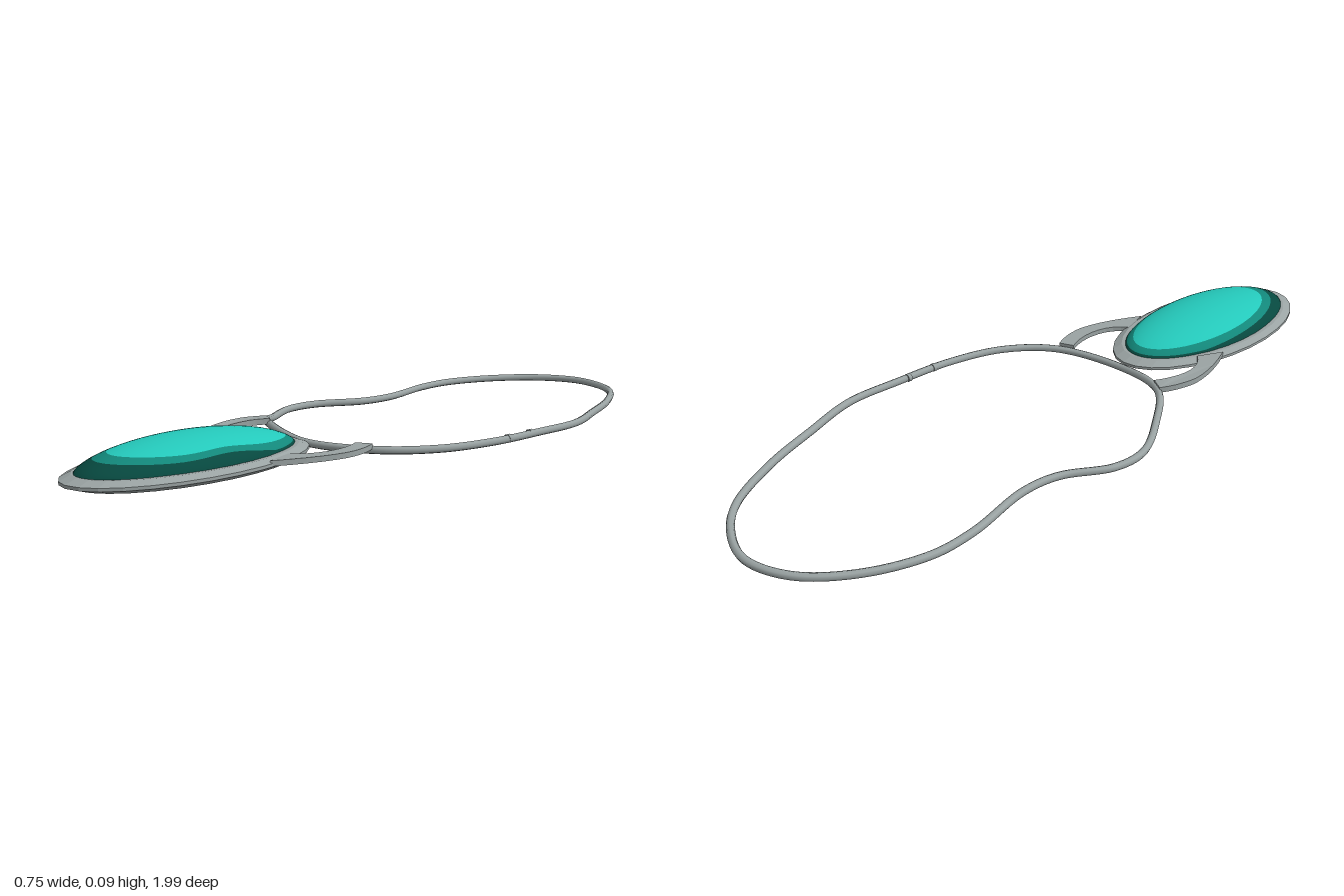
import * as THREE from 'three';

const mat = (name, color, opts = {}) => {
  const m = new THREE.MeshStandardMaterial({ color, ...opts });
  m.name = name;
  return m;
};

export function createModel() {
  const group = new THREE.Group();
  const silver = mat('silver', 0x9aa3a3);
  const silverFlat = mat('silver faceted', 0x9aa3a3, { flatShading: true });
  const teal = mat('bright teal', 0x24c9bb);
  const midTeal = mat('mid teal', 0x12877a);
  const deepTeal = mat('deep teal', 0x07483f);

  const add = (name, geometry, material) => {
    const mesh = new THREE.Mesh(geometry, material);
    mesh.name = name;
    group.add(mesh);
    return mesh;
  };

  // Cord: irregular closed loop lying flat, lifted where it crosses the left bail
  const loop = [
    [-0.07, -0.99], [0.05, -0.955], [0.14, -0.885], [0.235, -0.73], [0.30, -0.57],
    [0.36, -0.40], [0.363, -0.24], [0.355, -0.05], [0.31, 0.11],
    [0.21, 0.225], [0.01, 0.285], [-0.185, 0.24, 0.03], [-0.28, 0.135, 0.015],
    [-0.36, 0.0], [-0.36, -0.10], [-0.295, -0.23], [-0.287, -0.34],
    [-0.335, -0.54], [-0.34, -0.67], [-0.285, -0.83], [-0.19, -0.945],
  ].map(([x, z, y = 0.0105]) => new THREE.Vector3(x, y, z));
  const path = new THREE.CatmullRomCurve3(loop, true);
  add('cord', new THREE.TubeGeometry(path, 200, 0.0105, 8, true), silver);

  // Clasp rings on the right of the cord
  for (const z of [-0.2, -0.11]) {
    const ring = add('claspRing', new THREE.CylinderGeometry(0.0115, 0.0115, 0.012, 10), silver);
    ring.rotation.x = Math.PI / 2;
    ring.position.set(0.36, 0.0115, z);
  }

  // Setting: oval dish with a bevelled rim and a recessed back
  const profile = [
    [0, 0.007], [0.76, 0.007], [0.80, 0.002], [0.90, 0.002], [1, 0.013], [1, 0.021],
    [0.91, 0.032], [0.85, 0.032], [0.81, 0.026], [0, 0.026],
  ].map(([r, y]) => new THREE.Vector2(r, y));
  const setting = add('setting', new THREE.LatheGeometry(profile, 28), silverFlat);
  setting.scale.set(0.178, 1, 0.346);
  setting.position.set(0.004, 0, 0.645);

  // Stone: domed oval made of colour bands between two radii that vary by angle
  const SEG = 64, RINGS = 10;
  const dome = (r) => 0.028 + 0.063 * Math.pow(Math.max(0, 1 - r * r), 0.62);
  const band = (name, inner, outer, material) => {
    const geo = new THREE.PlaneGeometry(1, 1, SEG, RINGS);
    const pos = geo.attributes.position, nor = geo.attributes.normal;
    const n = new THREE.Vector3();
    for (let j = 0; j <= RINGS; j++) {
      for (let i = 0; i <= SEG; i++) {
        const a = -(i / SEG) * Math.PI * 2;
        const r = THREE.MathUtils.lerp(outer(a), inner(a), j / RINGS);
        const k = j * (SEG + 1) + i;
        pos.setXYZ(k, 0.149 * r * Math.cos(a), dome(r), 0.31 * r * Math.sin(a));
        const e = Math.min(r, 0.99);
        const slope = -(dome(e + 0.005) - dome(e - 0.005)) / 0.01;
        n.set(slope * Math.cos(a) / 0.149, 1, slope * Math.sin(a) / 0.31).normalize();
        nor.setXYZ(k, n.x, n.y, n.z);
      }
    }
    // Keep every face pointing up
    const id = geo.index;
    const p = [0, 1, 2].map(() => new THREE.Vector3());
    for (let f = 0; f < id.count; f += 3) {
      p.forEach((v, c) => v.fromBufferAttribute(pos, id.getX(f + c)));
      if (p[1].sub(p[0]).cross(p[2].sub(p[0])).y < 0) {
        const t = id.getX(f + 1);
        id.setX(f + 1, id.getX(f + 2));
        id.setX(f + 2, t);
      }
    }
    const mesh = add(name, geo, material);
    mesh.position.set(0.004, 0, 0.648);
  };
  // Bright area reaches the back edge, and dips in at the front and right
  const brightEdge = (a) => 0.81 - 0.10 * Math.sin(a)
    - 0.09 * Math.exp(-Math.pow((Math.atan2(Math.sin(a), Math.cos(a)) + 0.1) / 0.35, 2));
  const midEdge = (a) => Math.min(0.975, brightEdge(a) + 0.12);
  band('stoneTop', () => 0, brightEdge, teal);
  band('stoneMiddle', brightEdge, midEdge, midTeal);
  band('stoneEdge', midEdge, () => 1, deepTeal);

  // Bails: flat crescents joining the setting to the cord
  const bail = (name, side, thickness, height) => {
    const s = new THREE.Shape();
    s.moveTo(side * 0.205, -0.235);
    s.quadraticCurveTo(side * 0.235, -0.29, side * 0.233, -0.35);
    s.quadraticCurveTo(side * 0.225, -0.43, side * 0.168, -0.54);
    s.lineTo(side * 0.14, -0.46);
    s.quadraticCurveTo(side * 0.19, -0.42, side * 0.19, -0.35);
    s.quadraticCurveTo(side * 0.19, -0.30, side * 0.165, -0.255);
    s.closePath();
    const geo = new THREE.ExtrudeGeometry(s, { depth: thickness, bevelEnabled: false, curveSegments: 5 });
    geo.rotateX(-Math.PI / 2);
    const pos = geo.attributes.position;
    for (let i = 0; i < pos.count; i++) pos.setY(i, pos.getY(i) + height(pos.getZ(i)));
    geo.computeVertexNormals();
    return add(name, geo, silverFlat);
  };
  bail('leftBail', 1, 0.014, () => 0.014);
  bail('rightBail', -1, 0.016, (z) => 0.029 - 0.05 * Math.max(0, z - 0.3)).position.x = 0.008;

  return group;
}
